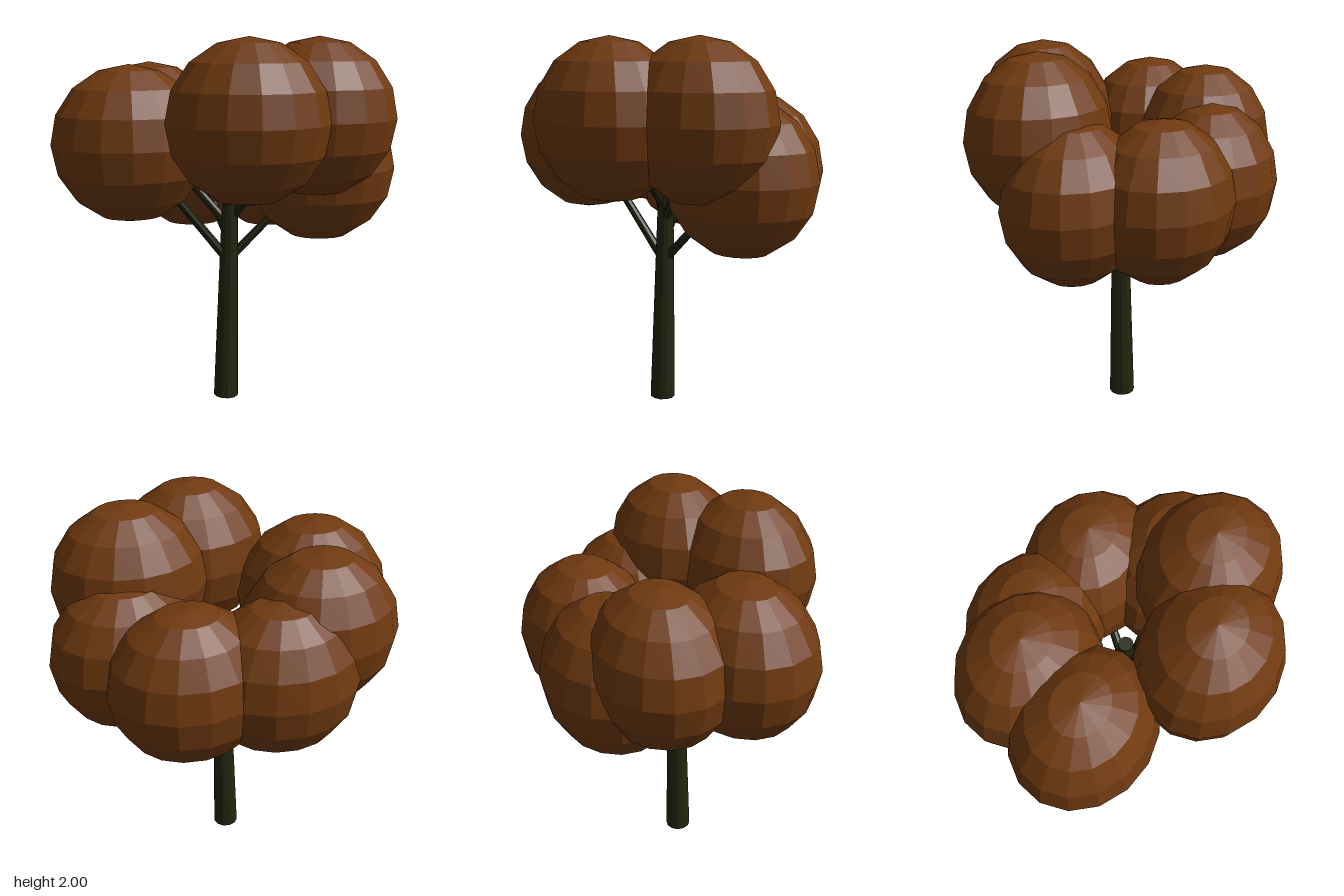
import * as THREE from 'three';

const bark = new THREE.MeshStandardMaterial({ name: 'darkBark', color: 0x24260f, flatShading: true });
const leaf = new THREE.MeshStandardMaterial({ name: 'russetLeaves', color: 0x703a10, flatShading: true });

// Tapered limb between two points
function limb(name, from, to, rBottom, rTop, sides) {
  const a = new THREE.Vector3(...from);
  const dir = new THREE.Vector3(...to).sub(a);
  const geo = new THREE.CylinderGeometry(rTop, rBottom, dir.length(), sides);
  const mesh = new THREE.Mesh(geo, bark);
  mesh.name = name;
  mesh.position.copy(a).addScaledVector(dir, 0.5);
  mesh.quaternion.setFromUnitVectors(new THREE.Vector3(0, 1, 0), dir.normalize());
  return mesh;
}

export function createModel() {
  const tree = new THREE.Group();
  tree.name = 'tree';

  // Slightly leaning trunk
  tree.add(limb('trunk', [-0.005, 0, 0], [0.02, 1.28, 0], 0.07, 0.04, 12));

  // Leaf clumps in a ring: centre, then height where the branch leaves the trunk
  const clumps = [
    { at: [0.04, 1.595, 0.44], fork: 1.1 },
    { at: [0.435, 1.595, 0.235], fork: 1.02 },
    { at: [0.515, 1.305, 0], fork: 0.8 },
    { at: [0.31, 1.305, -0.37], fork: 1.0 },
    { at: [-0.135, 1.305, -0.445], fork: 0.92 },
    { at: [-0.39, 1.455, -0.31], fork: 0.99 },
    { at: [-0.515, 1.455, 0.07], fork: 0.79 },
  ];
  const clumpShape = new THREE.SphereGeometry(0.408, 16, 8);

  for (const { at, fork } of clumps) {
    const clump = new THREE.Mesh(clumpShape, leaf);
    clump.name = 'leafClump';
    clump.position.set(...at);
    clump.scale.z = 0.86;
    tree.add(clump);

    // Branch reaching into the clump
    const start = [0.01, fork, 0];
    const end = start.map((v, i) => v + (at[i] - v) * 0.75);
    tree.add(limb('branch', start, end, 0.026, 0.02, 8));
  }
  return tree;
}
